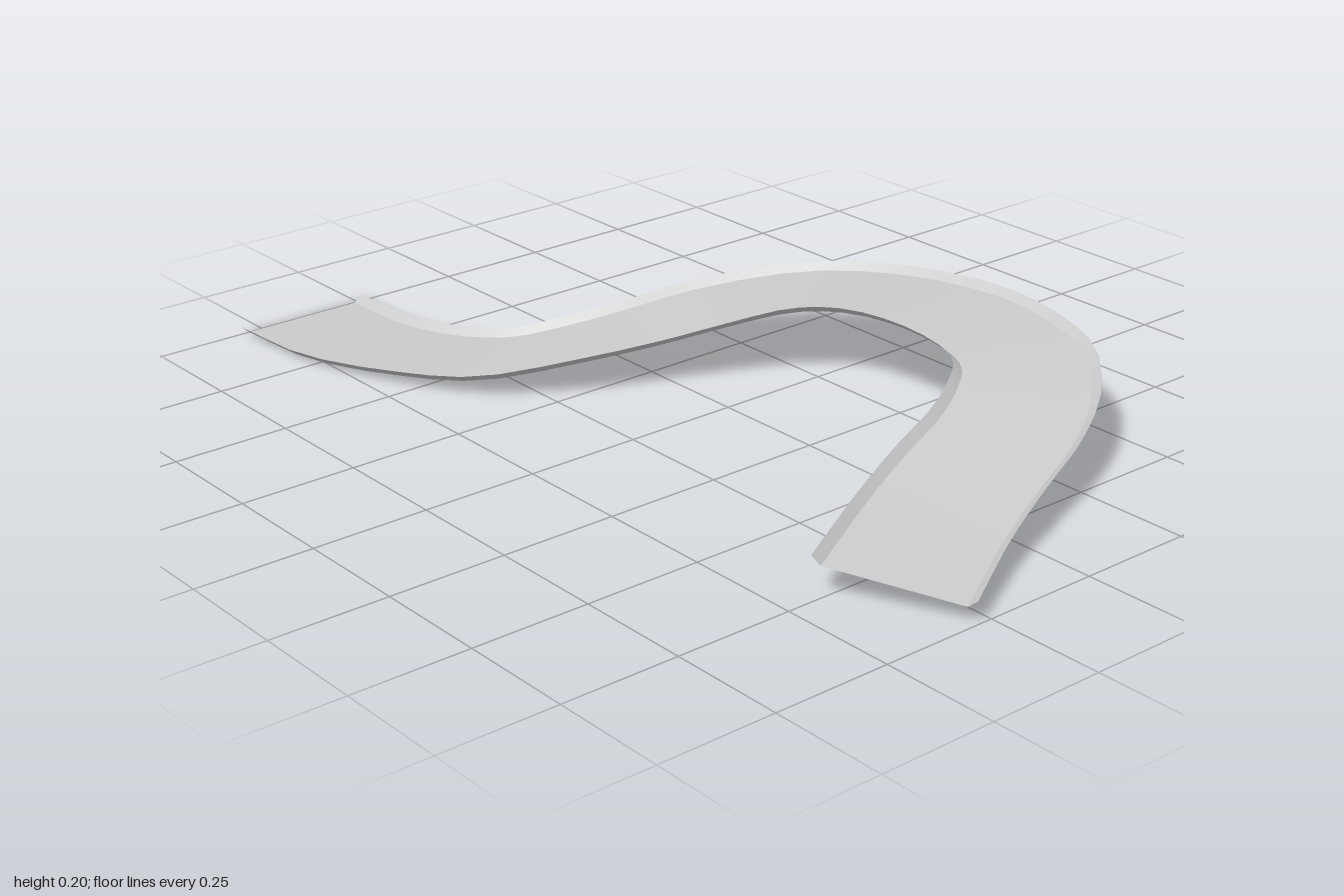
import * as THREE from 'three';

const SEGMENTS = 40;
const FLARE_OUT = 0.018;
const FLARE_UP = 0.016;

// Matching stations along the two rims of the track: [x, y, z, x, y, z]
const STATIONS = [
  [-1, .016, .24, -1, .016, .55],
  [-.81, .020, .235, -.77, .019, .535],
  [-.65, .030, .19, -.53, .034, .455],
  [-.55, .045, .13, -.37, .050, .365],
  [-.48, .070, .04, -.23, .090, .20],
  [-.43, .092, -.05, -.15, .115, .04],
  [-.36, .125, -.21, -.09, .140, -.07],
  [-.22, .160, -.40, -.01, .170, -.18],
  [-.03, .182, -.51, .08, .183, -.235],
  [.22, .197, -.555, .22, .190, -.255],
  [.40, .192, -.543, .36, .186, -.245],
  [.56, .180, -.485, .42, .178, -.225],
  [.69, .152, -.36, .47, .170, -.165],
  [.77, .122, -.22, .52, .152, -.07],
  [.83, .100, -.07, .565, .132, .06],
  [.90, .070, .10, .63, .108, .22],
  [1, .046, .285, .735, .083, .435],
];

// Smooth rim through one side of the stations
function rimPoints(offset) {
  const points = STATIONS.map((s) => new THREE.Vector3(s[offset], s[offset + 1], s[offset + 2]));
  const curve = new THREE.CatmullRomCurve3(points, false, 'centripetal');
  return Array.from({ length: SEGMENTS + 1 }, (_, i) => curve.getPoint(i / SEGMENTS));
}

// Ribbon surface between two rows of points
function ribbon(name, rowA, rowB, color) {
  const positions = [];
  const indices = [];
  rowA.forEach((a, i) => {
    positions.push(...a.toArray(), ...rowB[i].toArray());
    if (i < rowA.length - 1) {
      const k = i * 2;
      indices.push(k, k + 1, k + 2, k + 1, k + 3, k + 2);
    }
  });
  const geometry = new THREE.BufferGeometry();
  geometry.setAttribute('position', new THREE.Float32BufferAttribute(positions, 3));
  geometry.setIndex(indices);
  geometry.computeVertexNormals();
  const material = new THREE.MeshStandardMaterial({ color, side: THREE.DoubleSide });
  const mesh = new THREE.Mesh(geometry, material);
  mesh.name = name;
  return mesh;
}

// Road edge: in from the rim and below it
function roadEdge(rim, opposite) {
  return rim.map((p, i) => {
    const inward = opposite[i].clone().sub(p).setLength(FLARE_OUT);
    return p.clone().add(inward).add(new THREE.Vector3(0, -FLARE_UP, 0));
  });
}

export function createModel() {
  const group = new THREE.Group();
  group.name = 'curvedRoad';

  const backRim = rimPoints(0);
  const frontRim = rimPoints(3);
  const backEdge = roadEdge(backRim, frontRim);
  const frontEdge = roadEdge(frontRim, backRim);

  // Road surface
  group.add(ribbon('roadSurface', backEdge, frontEdge, 0xcccccc));

  // Kerbs flaring up and out along both edges
  group.add(ribbon('backKerb', backRim, backEdge, 0xffffff));
  group.add(ribbon('frontKerb', frontEdge, frontRim, 0xffffff));

  return group;
}
